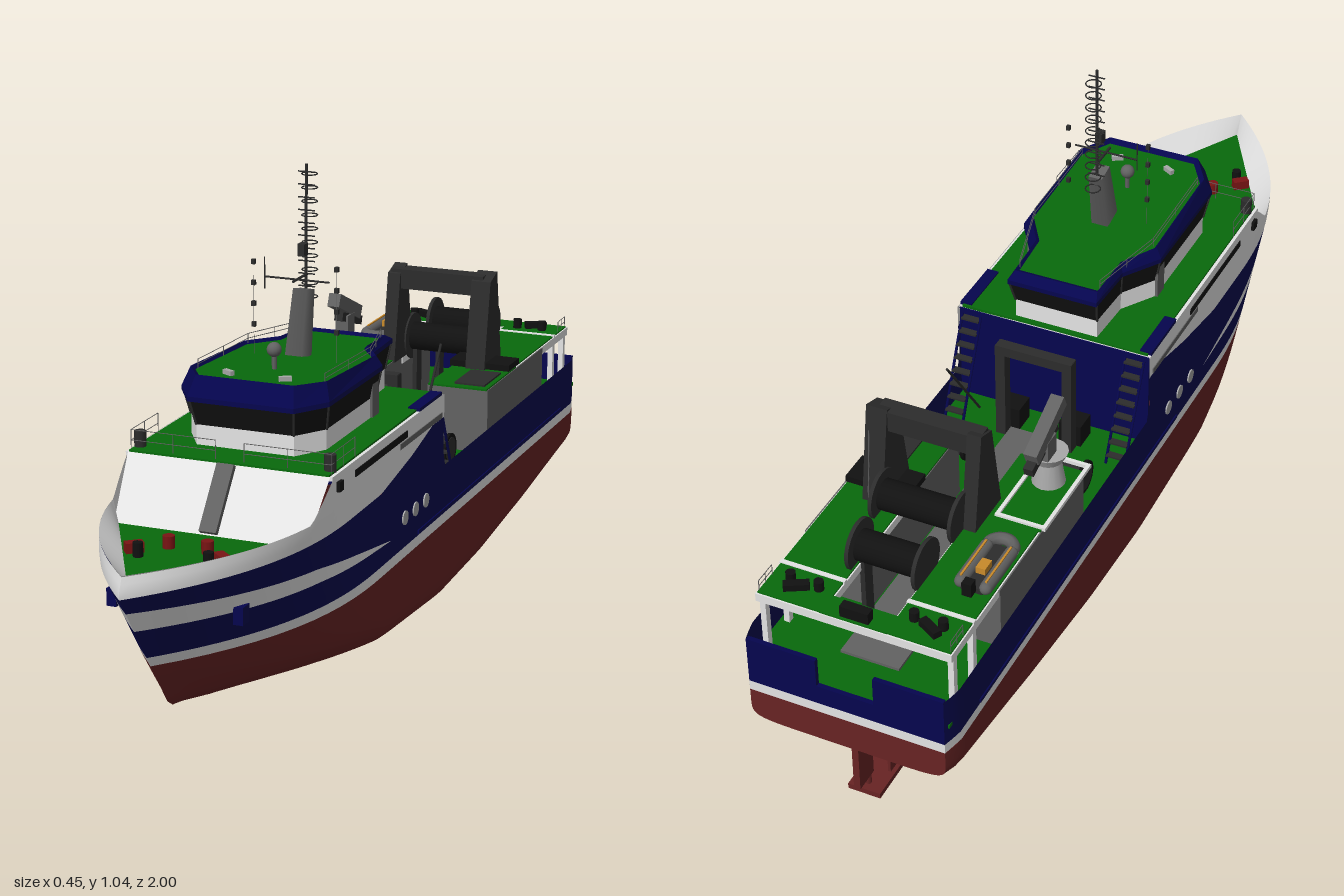
import * as THREE from 'three';

const M = {};
for (const [name, color] of Object.entries({
  navy: 0x05054e, hullRed: 0x682424, white: 0xe4e4e4, deckGreen: 0x086a0c, darkGrey: 0x2c2c2c,
  midGrey: 0x626262, black: 0x111111, fittingRed: 0x7a1414, orange: 0xc98a2a, lightGrey: 0xa8a8a8 })) {
  M[name] = new THREE.MeshStandardMaterial({ color, side: THREE.DoubleSide });
  M[name].name = name;
}

// piecewise linear curve through [x, y] points
function curve(pts, x) {
  if (x <= pts[0][0]) return pts[0][1];
  for (let i = 1; i < pts.length; i++) {
    const [a, b] = [pts[i - 1], pts[i]];
    if (x <= b[0]) return a[1] + (b[1] - a[1]) * (x - a[0]) / (b[0] - a[0]);
  }
  return pts[pts.length - 1][1];
}

const stem = y => curve([[0.13, 0.78], [0.15, 0.81], [0.42, 1], [0.455, 0.985]], y);
const keel = z => curve([[-1, 0.175], [-0.65, 0.115], [-0.35, 0.075], [-0.1, 0.06], [0.3, 0.088], [0.7, 0.12], [0.78, 0.135]], z);
const navyTop = z => curve([[0, 0.48], [0.12, 0.45], [0.28, 0.42], [1, 0.415]], z);
const houseTop = z => curve([[0.53, 0.53], [0.62, 0.458], [1, 0.455]], z);
const swooshLow = z => curve([[0.28, 0.305], [0.6, 0.325], [1, 0.335]], z);
const swooshHigh = z => curve([[0.28, 0.306], [0.45, 0.335], [0.6, 0.357], [1, 0.38]], z);

// point on the hull side: s runs from stern to stem
function hullPoint(s, y) {
  const zb = stem(y), z = -1 + s * (zb + 1);
  const z0 = THREE.MathUtils.mapLinear(THREE.MathUtils.clamp(y, 0.1, 0.45), 0.1, 0.45, 0.15, 0.45);
  const u = Math.max(0, (z - z0) / (zb - z0));
  const aft = 1 - 0.05 * Math.max(0, (-0.96 - z) / 0.04);
  return [0.218 * aft * (1 - Math.pow(Math.min(1, u), 2.4)), y, z];
}

export function createModel() {
  const ship = new THREE.Group();
  ship.name = 'researchShip';

  const add = (name, geo, mat, x = 0, y = 0, z = 0) => {
    const m = new THREE.Mesh(geo, mat);
    m.name = name;
    m.position.set(x, y, z);
    ship.add(m);
    return m;
  };
  const box = (name, mat, w, h, d, x, y, z) => add(name, new THREE.BoxGeometry(w, h, d), mat, x, y, z);
  const cyl = (name, mat, r1, r2, h, x, y, z, n = 16) => add(name, new THREE.CylinderGeometry(r1, r2, h, n), mat, x, y, z);
  const drumX = (name, mat, r, w, x, y, z) => { cyl(name, mat, r, r, w, x, y, z, 24).rotation.z = Math.PI / 2; };
  const bar = (name, mat, a, b, r) => {
    const A = new THREE.Vector3(...a), B = new THREE.Vector3(...b), d = B.clone().sub(A);
    const m = cyl(name, mat, r, r, d.length(), 0, 0, 0, 6);
    m.position.copy(A).add(B).multiplyScalar(0.5);
    m.quaternion.setFromUnitVectors(new THREE.Vector3(0, 1, 0), d.normalize());
  };
  const rail = (name, pts, h = 0.04, n = 4) => pts.slice(1).forEach((b, i) => {
    const a = pts[i], at = (t, k) => a.map((v, j) => v + (b[j] - v) * t + (j === 1 ? h * k : 0));
    for (const k of [0.5, 1]) bar(name, M.midGrey, at(0, k), at(1, k), 0.0008);
    for (let p = 0; p <= n; p++) bar(name, M.midGrey, at(p / n, 0), at(p / n, 1), 0.0008);
  });
  // grid surface from a function of u, v in 0..1
  const surface = (name, mat, nu, nv, fn, flip = false) => {
    const pos = [], idx = [];
    for (let i = 0; i <= nu; i++) for (let j = 0; j <= nv; j++) pos.push(...fn(i / nu, j / nv));
    for (let i = 0; i < nu; i++) for (let j = 0; j < nv; j++) {
      const a = i * (nv + 1) + j, b = a + nv + 1;
      idx.push(...(flip ? [a, a + 1, b, b, a + 1, b + 1] : [a, b, a + 1, b, b + 1, a + 1]));
    }
    const g = new THREE.BufferGeometry();
    g.setAttribute('position', new THREE.Float32BufferAttribute(pos, 3));
    g.setIndex(idx);
    g.computeVertexNormals();
    return add(name, g, mat);
  };
  // band of hull plating between two height curves, on both sides
  const strip = (name, mat, z0, z1, lo, hi) => [1, -1].forEach(sg => surface(name, mat, 40, 3, (u, v) => {
    const zn = z0 + (z1 - z0) * u, a = lo(zn), p = hullPoint((zn + 1) / 2, a + (hi(zn) - a) * v);
    return [sg * p[0], p[1], p[2]];
  }, sg > 0));

  // hull
  const bottomPoint = (s, t) => {
    const yb = keel(-1 + 1.78 * s), a = t * Math.PI / 2;
    const e = 0.26 + 0.55 * Math.max(0, (s - 0.7) / 0.3);
    const y = 0.245 - (0.245 - yb) * Math.pow(Math.sin(a), e);
    const p = hullPoint(s, y);
    return [p[0] * Math.pow(Math.max(0, Math.cos(a)), e), y, p[2]];
  };
  for (const sg of [1, -1]) surface('hullBottom', M.hullRed, 60, 24, (u, v) => {
    const p = bottomPoint(u, v * v * (3 - 2 * v));
    return [sg * p[0], p[1], p[2]];
  }, sg < 0);
  const k = v => () => v;
  strip('waterlineStripe', M.white, -1, 1, k(0.245), k(0.267));
  strip('aftHullSide', M.navy, -1, -0.07, k(0.267), k(0.373));
  strip('midHullSide', M.navy, -0.07, 0.28, k(0.267), navyTop);
  strip('lowerBowSide', M.navy, 0.28, 1, k(0.267), swooshLow);
  strip('bowSwoosh', M.white, 0.28, 1, swooshLow, swooshHigh);
  strip('upperBowSide', M.navy, 0.28, 1, swooshHigh, navyTop);
  strip('houseSide', M.white, -0.07, 0.53, navyTop, houseTop);
  strip('bowBulwark', M.white, 0.53, 1, navyTop, houseTop);

  // transom with central opening
  surface('transomBottom', M.hullRed, 2, 24, (u, v) => {
    const p = bottomPoint(0, v * v * (3 - 2 * v));
    return [p[0] * (1 - 2 * u), p[1], -1];
  });
  box('transomStripe', M.white, 0.414, 0.022, 0.004, 0, 0.256, -0.998);
  box('transomLower', M.navy, 0.414, 0.043, 0.01, 0, 0.2885, -0.995);
  for (const sg of [1, -1]) box('transomUpper', M.navy, 0.147, 0.063, 0.01, sg * 0.1335, 0.3415, -0.995);

  // skeg with a boxy section, rudder and propeller
  const soft = t => Math.sign(t) * Math.pow(Math.abs(t), 0.35);
  surface('skeg', M.hullRed, 24, 24, (u, v) => {
    const z = -0.05 - 0.78 * u, a = (v - 0.5) * Math.PI;
    const top = keel(z) + 0.01, bot = curve([[-0.83, 0.001], [-0.1, 0.05], [-0.05, 0.062]], z);
    const w = 0.037 * Math.min(1, u * 2) * (u > 0.85 ? 1 - (u - 0.85) * 4 : 1);
    return [w * soft(Math.sin(a)), top - (top - bot) * soft(Math.cos(a)), z];
  });
  box('skegShoe', M.hullRed, 0.07, 0.012, 0.13, 0, 0.012, -0.885);
  box('rudder', M.hullRed, 0.014, 0.125, 0.055, 0, 0.105, -0.948);
  bar('rudderStock', M.hullRed, [0, 0.01, -0.93], [0, 0.2, -0.93], 0.006);
  for (const sg of [1, -1]) box('propellerGuard', M.hullRed, 0.006, 0.12, 0.058, sg * 0.034, 0.1, -0.878);
  box('propellerGuardTop', M.hullRed, 0.074, 0.006, 0.058, 0, 0.16, -0.878);
  cyl('propellerHub', M.orange, 0.01, 0.012, 0.045, 0, 0.085, -0.85, 12).rotation.x = Math.PI / 2;
  for (let i = 0; i < 4; i++) {
    const a = i * Math.PI / 2 + 0.4;
    box('propellerBlade', M.orange, 0.018, 0.028, 0.003, -Math.sin(a) * 0.017, 0.085 + Math.cos(a) * 0.017, -0.86).rotation.set(0, 0.4, a);
  }

  // foredeck and bulwark lining
  const deckEdge = u => [0.19 * (1 - u), 0.415, 0.62 + 0.34 * u];
  surface('foredeck', M.deckGreen, 24, 2, (u, v) => { const p = deckEdge(u); return [p[0] * (2 * v - 1), p[1], p[2]]; });
  for (const sg of [1, -1]) {
    surface('bulwarkLining', M.white, 24, 1, (u, v) => {
      const a = hullPoint(0.81 + 0.19 * u, 0.457), b = deckEdge(u);
      return a.map((c, i) => (c + (b[i] - c) * v) * (i ? 1 : sg));
    }, sg > 0);
    cyl('bollard', M.fittingRed, 0.012, 0.012, 0.025, sg * 0.04, 0.427, 0.71, 10);
    box('windlass', M.fittingRed, 0.035, 0.02, 0.02, sg * 0.09, 0.425, 0.755).rotation.y = -sg * 0.7;
    cyl('windlassDrum', M.black, 0.01, 0.01, 0.028, sg * 0.072, 0.429, 0.775, 10);
    box('anchor', M.navy, 0.02, 0.035, 0.03, sg * 0.13, 0.325, 0.76);
  }

  // deckhouse
  surface('houseFront', M.white, 1, 1, (u, v) => [(0.212 - 0.012 * v) * (2 * u - 1), 0.53 - 0.115 * v, 0.53 + 0.09 * v], true);
  box('frontStair', M.midGrey, 0.036, 0.14, 0.015, 0, 0.475, 0.578).rotation.x = -0.66;
  box('houseAftWall', M.navy, 0.43, 0.225, 0.006, 0, 0.415, -0.07);
  box('houseDeckEdge', M.white, 0.434, 0.008, 0.6, 0, 0.526, 0.23);
  box('houseDeck', M.deckGreen, 0.42, 0.006, 0.6, 0, 0.531, 0.23);
  for (const sg of [1, -1]) {
    box('wingDeck', M.navy, 0.026, 0.008, 0.13, sg * 0.204, 0.533, 0);
    box('sideWindowBand', M.black, 0.006, 0.014, 0.28, sg * 0.217, 0.505, 0.28);
    box('sideVent', M.midGrey, 0.006, 0.012, 0.24, sg * 0.217, 0.488, 0.06);
    box('sideLamp', M.black, 0.012, 0.02, 0.02, sg * 0.218, 0.505, 0.5);
    box('rubbingStrake', M.navy, 0.008, 0.008, 0.95, sg * 0.217, 0.275, -0.4);
    for (const z of [0.15, 0.09, 0.03]) drumX('porthole', M.lightGrey, 0.015, 0.006, sg * 0.218, 0.33, z);
    rail('houseRail', [[sg * 0.21, 0.53, 0.4], [sg * 0.21, 0.53, 0.52], [sg * 0.03, 0.53, 0.52]], 0.042, 2);
    cyl('deckWinch', M.darkGrey, 0.012, 0.012, 0.035, sg * 0.2, 0.548, 0.5, 10);
    // stairs down to the working deck
    for (let i = 0; i < 8; i++) box('stairTread', M.darkGrey, 0.04, 0.004, 0.016, sg * 0.185, 0.33 + i * 0.026, -0.165 + i * 0.012);
    for (const x of [0.164, 0.206]) bar('stairStringer', M.navy, [sg * x, 0.31, -0.172], [sg * x, 0.52, -0.078], 0.003);
  }

  // wheelhouse: rings of one outline at different scales and heights
  const half = [[0.1, -0.08], [0.105, 0.04], [0.157, 0.12], [0.157, 0.4], [0.112, 0.47]];
  const outline = [...half, ...half.map(([x, z]) => [-x, z]).reverse()];
  outline.push(outline[0]);
  const ring = (i, s, y, tilt = 0) => {
    const x = outline[i][0] * s, z = (outline[i][1] - 0.2) * s;
    return [x, y + tilt * z, 0.2 + z];
  };
  const loft = (name, mat, a, b) => {
    const m = surface(name, mat, 10, 1, (u, v) => ring(Math.round(u * 10), ...(v ? b : a)), true);
    m.geometry = m.geometry.toNonIndexed();
    m.geometry.computeVertexNormals();
  };
  loft('wheelhouseWall', M.white, [0.92, 0.53], [0.92, 0.575]);
  loft('wheelhouseWindows', M.black, [0.92, 0.575], [0.98, 0.626]);
  loft('roofSoffit', M.white, [0.01, 0.626], [1, 0.626]);
  loft('roofFascia', M.navy, [1, 0.626], [1, 0.636]);
  loft('roofVisor', M.navy, [1, 0.636], [0.92, 0.662, 0.055]);
  loft('roofRimInside', M.navy, [0.92, 0.662, 0.055], [0.88, 0.655, 0.05]);
  loft('roofDeck', M.deckGreen, [0.88, 0.655, 0.05], [0.001, 0.655, 0.05]);
  for (const sg of [1, -1]) {
    box('wheelhouseDoor', M.midGrey, 0.006, 0.085, 0.035, sg * 0.147, 0.578, 0.14);
    rail('roofRail', [[sg * 0.09, 0.645, -0.04], [sg * 0.135, 0.655, 0.13], [sg * 0.135, 0.663, 0.37]], 0.02, 2);
    box('searchlight', M.lightGrey, 0.025, 0.01, 0.01, sg * 0.06, 0.669, 0.39).rotation.y = sg * 0.5;
  }
  for (let i = 0; i < 10; i++) bar('windowPost', M.darkGrey, ring(i, 0.922, 0.575), ring(i, 0.982, 0.626), 0.0025);
  bar('domePost', M.midGrey, [0, 0.655, 0.305], [0, 0.695, 0.305], 0.005);
  add('radarDome', new THREE.SphereGeometry(0.015, 14, 10), M.midGrey, 0, 0.7, 0.305);

  // mast and aerials
  const mast = cyl('mast', M.midGrey, 0.021, 0.026, 0.135, 0, 0.7225, 0.17, 4);
  mast.geometry.rotateY(Math.PI / 4);
  mast.geometry.scale(1, 1, 1.4);
  mast.rotation.x = -0.22;
  bar('mastPole', M.darkGrey, [0, 0.78, 0.145], [0, 1.04, 0.14], 0.003);
  for (let i = 0; i < 10; i++) {
    add('mastLoop', new THREE.TorusGeometry(0.016, 0.0014, 5, 14), M.darkGrey, 0, 0.765 + i * 0.028, 0.124).rotation.x = Math.PI / 2;
    bar('mastRung', M.darkGrey, [-0.018, 0.79 + i * 0.026, 0.14], [0.018, 0.79 + i * 0.026, 0.14], 0.0015);
  }
  bar('mastYard', M.darkGrey, [-0.07, 0.815, 0.19], [0.07, 0.815, 0.19], 0.002);
  bar('yardBracket', M.darkGrey, [0, 0.815, 0.14], [0, 0.815, 0.21], 0.003);
  bar('yardWhip', M.darkGrey, [-0.07, 0.79, 0.19], [-0.07, 0.855, 0.19], 0.0012);
  box('mastLamp', M.darkGrey, 0.015, 0.025, 0.02, 0, 0.87, 0.16);
  for (const sg of [1, -1]) {
    bar('signalHalyard', M.midGrey, [sg * 0.09, 0.655, 0.2], [sg * 0.09, 0.85, 0.2], 0.0004);
    for (let i = 0; i < 4; i++) box('signalLamp', M.darkGrey, 0.008, 0.01, 0.008, sg * 0.09, 0.717 + i * 0.043, 0.2);
  }

  // working deck
  box('workingDeck', M.deckGreen, 0.426, 0.008, 0.92, 0, 0.306, -0.53);
  box('trawlWay', M.midGrey, 0.125, 0.008, 0.75, 0, 0.312, -0.525);
  for (const sg of [1, -1]) {
    // raised aft platforms with white rims and legs
    box('platformRim', M.white, 0.14, 0.018, 0.385, sg * 0.135, 0.444, -0.765);
    box('platformTop', M.deckGreen, 0.134, 0.004, 0.378, sg * 0.135, 0.454, -0.765);
    box('platformSeam', M.white, 0.14, 0.006, 0.01, sg * 0.135, 0.455, -0.86);
    for (const z of [-0.94, -0.86]) box('platformLeg', M.white, 0.012, 0.14, 0.014, sg * 0.197, 0.375, z);
    for (const x of [0.1, 0.16]) cyl('mooringBitt', M.black, 0.01, 0.01, 0.022, sg * x, 0.466, -0.9, 10);
    box('sternFairlead', M.black, 0.05, 0.014, 0.018, sg * 0.14, 0.463, -0.915).rotation.y = sg * 0.5;
    rail('sternRail', [[sg * 0.2, 0.455, -0.9], [sg * 0.2, 0.455, -0.95]], 0.025, 2);
    // side lockers
    box('sideLocker', M.midGrey, 0.14, 0.145, 0.38, sg * 0.138, 0.3805, -0.57);
    box('lockerTop', M.deckGreen, 0.136, 0.004, 0.2, sg * 0.138, 0.454, -0.478);
    // winches near the deckhouse
    drumX('trawlWinch', M.darkGrey, 0.028, 0.07, sg * 0.13, 0.345, -0.27);
    for (const x of [0.1, 0.16]) drumX('winchFlange', M.black, 0.036, 0.008, sg * x, 0.345, -0.27);
    box('gantryPost', M.darkGrey, 0.022, 0.23, 0.025, sg * 0.075, 0.42, -0.16);
    box('gantryFoot', M.black, 0.05, 0.05, 0.05, sg * 0.07, 0.335, -0.12);
  }
  box('sternBridge', M.white, 0.14, 0.018, 0.055, 0, 0.444, -0.93);
  box('sternBridgeTop', M.deckGreen, 0.14, 0.004, 0.05, 0, 0.454, -0.93);
  box('sternRoller', M.black, 0.06, 0.025, 0.02, 0, 0.468, -0.94);
  box('gantryBeam', M.darkGrey, 0.17, 0.022, 0.025, 0, 0.525, -0.16);
  bar('derrick', M.darkGrey, [0.12, 0.37, -0.18], [0.12, 0.565, -0.32], 0.003);
  box('lockerHatch', M.darkGrey, 0.07, 0.006, 0.11, 0.16, 0.457, -0.45);
  box('gantryBase', M.black, 0.14, 0.014, 0.07, 0.135, 0.463, -0.565);

  // crane inside a white deck border
  for (const sg of [1, -1]) {
    box('craneBorderSide', M.white, 0.008, 0.008, 0.21, -0.16 + sg * 0.05, 0.457, -0.465);
    box('craneBorderEnd', M.white, 0.108, 0.008, 0.008, -0.16, 0.457, -0.465 + sg * 0.104);
  }
  cyl('cranePedestal', M.lightGrey, 0.025, 0.035, 0.06, -0.155, 0.482, -0.43);
  cyl('craneTurret', M.lightGrey, 0.04, 0.03, 0.02, -0.155, 0.52, -0.43);
  box('craneHead', M.midGrey, 0.03, 0.05, 0.04, -0.155, 0.55, -0.445);
  box('craneBoom', M.midGrey, 0.028, 0.03, 0.14, -0.155, 0.593, -0.445).rotation.x = -0.42;
  box('craneJib', M.darkGrey, 0.02, 0.02, 0.12, -0.155, 0.56, -0.465).rotation.x = -0.3;

  // trawl drums and stern gantry
  for (const [x, z, w] of [[0.005, -0.785, 0.14], [0.02, -0.635, 0.17]]) {
    drumX('netDrum', M.black, 0.032, w, x, 0.487, z);
    for (const sg of [1, -1]) {
      drumX('drumFlange', M.darkGrey, 0.053, 0.008, x + sg * w / 2, 0.487, z);
      box('drumStand', M.darkGrey, 0.01, 0.17, 0.03, x + sg * (w / 2 - 0.012), 0.395, z);
    }
  }
  const leg = new THREE.Shape([[0.52, 0.45], [0.635, 0.45], [0.6, 0.665], [0.555, 0.65]].map(p => new THREE.Vector2(...p)));
  for (const [x, w] of [[0.105, 0.045], [-0.095, 0.03]]) {
    add('sternGantryLeg', new THREE.ExtrudeGeometry(leg, { depth: w, bevelEnabled: false }), M.darkGrey, x, 0, 0).rotation.y = Math.PI / 2;
  }
  box('sternGantryBeam', M.darkGrey, 0.22, 0.045, 0.04, 0.02, 0.637, -0.58);
  rail('gantryLadder', [[0.13, 0.46, -0.645], [0.13, 0.6, -0.63]], 0.03, 5);

  // workboat
  const boat = new THREE.CapsuleGeometry(0.013, 0.11, 4, 10);
  for (const sg of [1, -1]) add('boatTube', boat, M.midGrey, -0.165 + sg * 0.026, 0.473, -0.73).rotation.x = Math.PI / 2;
  add('boatBow', new THREE.TorusGeometry(0.026, 0.013, 8, 12, Math.PI), M.midGrey, -0.165, 0.473, -0.67).rotation.x = Math.PI / 2;
  box('boatFloor', M.darkGrey, 0.045, 0.012, 0.13, -0.165, 0.468, -0.73);
  for (const sg of [1, -1]) box('boatTrim', M.orange, 0.004, 0.004, 0.11, -0.165 + sg * 0.026, 0.486, -0.73);
  box('boatSeat', M.orange, 0.02, 0.016, 0.03, -0.165, 0.48, -0.74);
  box('boatEngine', M.black, 0.02, 0.03, 0.02, -0.165, 0.482, -0.805);
  return ship;
}
